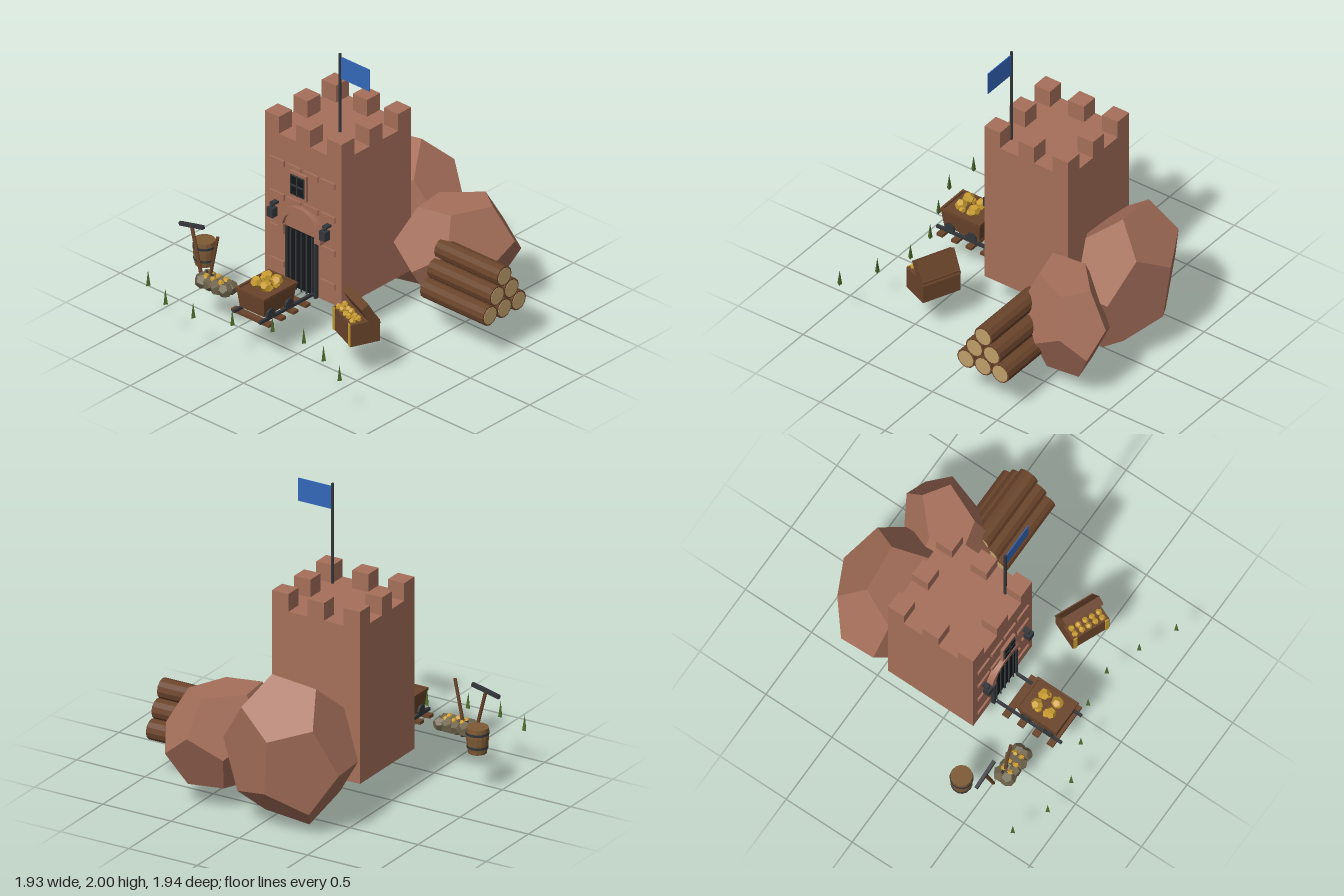
import * as THREE from 'three';
import { ConvexGeometry } from 'three/addons/geometries/ConvexGeometry.js';

const mat = (name, color, flat = true) => {
  const m = new THREE.MeshStandardMaterial({ color, flatShading: flat });
  m.name = name;
  return m;
};

export function createModel() {
  const brick = mat('brick', 0xa56f5a), wood = mat('wood', 0x6a442b), oak = mat('oak', 0x7d5a35);
  const iron = mat('iron', 0x33363a), black = mat('black', 0x151719), gold = mat('gold', 0xc99c30);
  const cut = mat('cutWood', 0xbf9f6a), ore = mat('ore', 0x6e634c), grass = mat('grass', 0x4c6a2e);
  const blue = mat('blue', 0x3368b9);
  blue.side = THREE.DoubleSide;

  const G = 0.27; // ground level
  const model = new THREE.Group();
  const group = (name, parent = model) => {
    const g = new THREE.Group();
    g.name = name;
    parent.add(g);
    return g;
  };
  const add = (parent, name, geo, material, x = 0, y = 0, z = 0) => {
    const m = new THREE.Mesh(geo, material);
    m.name = name;
    m.position.set(x, y, z);
    parent.add(m);
    return m;
  };
  const box = (parent, name, material, w, h, d, x, y, z) =>
    add(parent, name, new THREE.BoxGeometry(w, h, d), material, x, y, z);
  // round bar between two points
  const bar = (parent, name, material, a, b, r, sides = 8) => {
    const p = new THREE.Vector3(...a), q = new THREE.Vector3(...b), d = q.clone().sub(p);
    const m = add(parent, name, new THREE.CylinderGeometry(r, r, d.length(), sides), material);
    m.position.copy(p).add(q).multiplyScalar(0.5);
    m.quaternion.setFromUnitVectors(new THREE.Vector3(0, 1, 0), d.normalize());
    return m;
  };

  // ---- tower ----
  const tower = group('tower');
  const TX = -0.195, TZ = -0.085, F = 0.24;
  box(tower, 'towerBody', brick, 0.645, 1.05, 0.645, TX, G + 0.525, TZ);
  for (const i of [-1, 0, 1]) for (const j of [-1, 0, 1]) {
    if (i || j) box(tower, 'merlon', brick, 0.12, 0.12, 0.12, TX + i * 0.2625, 1.38, TZ + j * 0.2625);
  }
  // raised bricks on the front
  for (const [row, y] of [1.12, 0.88, 0.64, 0.40].entries()) for (const k of [-1.5, -0.5, 0.5, 1.5]) {
    if (row < 2 || Math.abs(k) > 1) box(tower, 'raisedBrick', brick, 0.12, 0.042, 0.02, TX + k * 0.143, y, F);
  }
  // window
  const win = group('window', tower);
  box(win, 'windowFrame', brick, 0.14, 0.18, 0.02, TX, 1.04, 0.278);
  box(win, 'windowPane', black, 0.11, 0.14, 0.008, TX, 1.04, 0.29);
  box(win, 'windowMullion', iron, 0.012, 0.14, 0.012, TX, 1.04, 0.292);
  box(win, 'windowRail', iron, 0.11, 0.012, 0.012, TX, 1.04, 0.292);
  for (const s of [-1, 1]) {
    box(win, 'windowEdge', iron, 0.006, 0.14, 0.01, TX + s * 0.055, 1.04, 0.291);
    box(win, 'windowEdge', iron, 0.11, 0.006, 0.01, TX, 1.04 + s * 0.067, 0.291);
  }
  // doorway
  const door = group('doorway', tower);
  box(door, 'doorPanel', black, 0.245, 0.42, 0.02, TX, G + 0.22, 0.24);
  for (let i = 0; i < 5; i++) bar(door, 'doorBar', iron, [TX + (i - 2) * 0.045, G, 0.255], [TX + (i - 2) * 0.045, 0.69, 0.255], 0.006, 6);
  for (const s of [-1, 1]) {
    box(door, 'doorPost', iron, 0.015, 0.43, 0.03, TX + s * 0.122, G + 0.215, 0.25);
    box(door, 'archFoot', brick, 0.05, 0.035, 0.05, TX + s * 0.155, 0.695, 0.255);
  }
  const archShape = new THREE.Shape();
  archShape.absarc(0, 0, 0.18, 0, Math.PI, false);
  archShape.absarc(0, 0, 0.14, Math.PI, 0, true);
  add(door, 'arch', new THREE.ExtrudeGeometry(archShape, { depth: 0.05, bevelEnabled: false, curveSegments: 12 }),
    brick, TX, 0.695, 0.23);
  const tympanum = new THREE.Shape();
  tympanum.absarc(0, 0, 0.141, 0, Math.PI, false);
  add(door, 'archFill', new THREE.ExtrudeGeometry(tympanum, { depth: 0.02, bevelEnabled: false, curveSegments: 12 }),
    brick, TX, 0.7, 0.235);
  // lanterns
  for (const s of [-1, 1]) {
    const l = group('lantern', tower), x = TX + s * 0.222;
    box(l, 'lanternBox', iron, 0.05, 0.065, 0.045, x, 0.773, 0.283);
    box(l, 'lanternHanger', iron, 0.01, 0.03, 0.01, x, 0.815, 0.283);
    box(l, 'lanternBracket', iron, 0.035, 0.016, 0.05, x, 0.828, 0.263);
  }
  // flag
  const flag = group('flag');
  bar(flag, 'flagPole', iron, [0.007, 1.32, 0.117], [0.007, 2, 0.117], 0.01);
  box(flag, 'flagCloth', blue, 0.25, 0.155, 0.006, 0.133, 1.902, 0.117);

  // ---- boulders: stretched twelve-sided solids from centre, face axis and two face directions ----
  const boulder = (c, h, a, b) => {
    const pts = [], C = new THREE.Vector3(...c);
    for (let i = 0; i < 5; i++) for (const [kh, kt] of [[1, 1], [0.2361, 1.618]]) {
      const t = i * Math.PI * 0.4;
      const v = new THREE.Vector3(...h).multiplyScalar(kh)
        .addScaledVector(new THREE.Vector3(...a), kt * Math.cos(t))
        .addScaledVector(new THREE.Vector3(...b), kt * Math.sin(t));
      pts.push(C.clone().add(v), C.clone().sub(v));
    }
    add(model, 'boulder', new ConvexGeometry(pts), brick);
  };
  boulder([-0.157, 0.512, -0.645], [-0.04, 0.347, -0.171], [0.013, -0.174, -0.158], [-0.262, -0.035, 0.021]);
  boulder([0.37, 0.475, -0.57], [0, 0.305, 0], [0.039, 0, -0.219], [0.194, 0, -0.048]);

  // ---- log pile ----
  const logs = group('logPile');
  for (let row = 0; row < 3; row++) for (let i = 0; i < 3 - row; i++) {
    const y = G + 0.068 + row * 0.114, z = -0.36 + (i - (2 - row) / 2) * 0.132;
    bar(logs, 'log', wood, [0.427, y, z], [0.957, y, z], 0.068, 12);
    bar(logs, 'logEnd', cut, [0.424, y, z], [0.96, y, z], 0.058, 12);
  }

  // ---- rail track ----
  const track = group('track');
  for (const z of [0.367, 0.48, 0.592, 0.705]) box(track, 'sleeper', wood, 0.32, 0.02, 0.046, TX, G + 0.01, z);
  for (const s of [-1, 1]) box(track, 'rail', iron, 0.018, 0.02, 0.49, TX + s * 0.109, G + 0.03, 0.515);

  // ---- ore cart ----
  const cart = group('cart');
  const tub = new THREE.BoxGeometry(0.235, 0.13, 0.3), tp = tub.attributes.position;
  for (let i = 0; i < tp.count; i++) if (tp.getY(i) < 0) tp.setXYZ(i, tp.getX(i) * 0.86, tp.getY(i), tp.getZ(i) * 0.9);
  add(cart, 'tub', tub, wood, TX, 0.382, 0.575);
  for (const s of [-1, 1]) {
    box(cart, 'tubRimSide', wood, 0.016, 0.018, 0.31, TX + s * 0.114, 0.449, 0.575);
    box(cart, 'tubRimEnd', wood, 0.235, 0.018, 0.016, TX, 0.449, 0.575 + s * 0.147);
    for (const z of [0.49, 0.66]) bar(cart, 'wheel', iron, [TX + s * 0.098, 0.328, z], [TX + s * 0.12, 0.328, z], 0.036, 10);
  }
  for (const sx of [-1, 1]) for (const sz of [-1, 1]) {
    add(cart, 'goldNugget', new THREE.DodecahedronGeometry(0.04), gold, TX + sx * 0.04, 0.482, 0.575 + sz * 0.05)
      .rotation.set(sx * 0.4, sz * 0.7, 0.3);
    add(cart, 'goldNugget', new THREE.DodecahedronGeometry(0.025), gold, TX + sx * 0.055, 0.465, 0.575 + sz * 0.03);
  }

  // ---- treasure chest, half open ----
  const chest = group('chest');
  chest.position.set(0.42, G, 0.415);
  chest.rotation.y = -0.4;
  box(chest, 'chestBase', wood, 0.27, 0.155, 0.2, 0, 0.078, 0.003);
  box(chest, 'chestLid', wood, 0.276, 0.06, 0.17, 0, 0.19, -0.035).rotation.x = -1.05;
  for (const s of [-1, 1]) {
    box(chest, 'chestBand', gold, 0.026, 0.157, 0.008, s * 0.115, 0.079, 0.104);
  }
  for (let i = 0; i < 10; i++) {
    const c = add(chest, 'coin', new THREE.DodecahedronGeometry(0.022), gold,
      -0.1 + (i % 5) * 0.05, 0.165 + (i % 2) * 0.008, i < 5 ? 0.075 : 0.035);
    c.rotation.set(i, i * 2, 0);
  }

  // ---- barrel ----
  const barrel = group('barrel');
  barrel.position.set(-0.88, G, 0.4);
  const stave = [[0, 0], [0.06, 0], [0.069, 0.06], [0.073, 0.11], [0.07, 0.172], [0, 0.172]].map(p => new THREE.Vector2(...p));
  add(barrel, 'barrelBody', new THREE.LatheGeometry(stave, 14), oak);
  for (const [y, r] of [[0.045, 0.07], [0.135, 0.0755]])
    add(barrel, 'hoop', new THREE.CylinderGeometry(r, r, 0.016, 14), iron, 0, y, 0);

  // ---- pickaxe and shovel ----
  const pick = group('pickaxe');
  bar(pick, 'pickHandle', wood, [-0.757, G, 0.555], [-0.848, 0.63, 0.555], 0.012);
  box(pick, 'pickHead', iron, 0.205, 0.024, 0.022, -0.845, 0.622, 0.555).rotation.z = 0.22;
  const shovel = group('shovel');
  bar(shovel, 'shovelHandle', wood, [-0.603, 0.64, 0.58], [-0.668, 0.33, 0.58], 0.011);
  box(shovel, 'shovelBlade', iron, 0.07, 0.1, 0.014, -0.675, 0.312, 0.58).rotation.z = -0.2;

  // ---- ore heap ----
  const heap = group('oreHeap');
  for (let i = 0; i < 8; i++) {
    const x = -0.69 + (i % 4) * 0.062, z = i < 4 ? 0.57 : 0.62;
    add(heap, 'oreLump', new THREE.DodecahedronGeometry(i % 2 ? 0.05 : 0.056), ore, x, G + 0.045, z)
      .rotation.set(i * 1.3, i * 0.8, i);
    if (i % 4 < 3) add(heap, 'oreGold', new THREE.DodecahedronGeometry(0.022), gold, x + 0.025, G + 0.083, z)
      .rotation.set(i, i * 0.5, 0);
  }

  // ---- grass tufts ----
  const tufts = [[-0.954, 0.84], [-0.716, 0.94], [-0.473, 0.95], [-0.23, 0.855], [0.008, 0.745], [0.25, 0.72], [0.49, 0.8], [0.73, 0.915]];
  for (const [x, z] of tufts) add(model, 'grassTuft', new THREE.ConeGeometry(0.017, 0.11, 3), grass, x, G + 0.055, z);

  return model;
}
